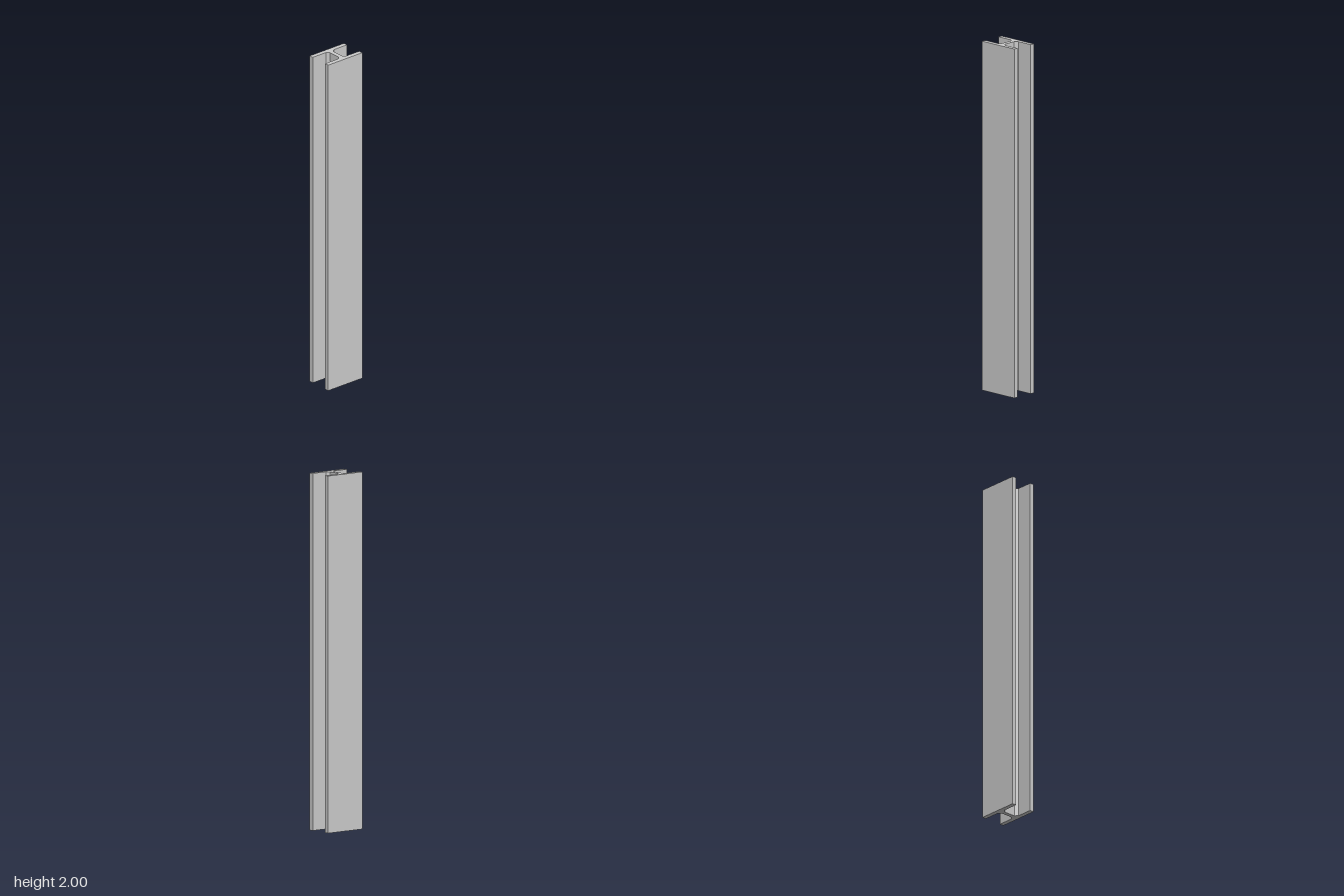
import * as THREE from 'three';

const HEIGHT = 2;
const HALF_WIDTH = 0.124;   // flange half width, x
const HALF_DEPTH = 0.079;   // outer flange faces, z
const FLANGE_INNER = 0.0525; // inner flange faces, z
const HALF_WEB = 0.0125;    // web half thickness, x
const CHAMFER = 0.0165;     // sloped corner between web and flange

export function createModel() {
  const group = new THREE.Group();
  group.name = 'steelBeam';

  // One quarter of the I-section, from the flange edge in to the web
  const quarter = [
    [HALF_WIDTH, HALF_DEPTH],
    [HALF_WIDTH, FLANGE_INNER],
    [HALF_WEB + CHAMFER, FLANGE_INNER],
    [HALF_WEB, FLANGE_INNER - CHAMFER],
  ];
  const mirror = (sx, sy) => quarter.map(([x, y]) => new THREE.Vector2(x * sx, y * sy));

  // Mirror the quarter around to close the outline
  const section = new THREE.Shape([
    ...mirror(1, 1),
    ...mirror(1, -1).reverse(),
    ...mirror(-1, -1),
    ...mirror(-1, 1).reverse(),
  ]);

  // Extrude the section and stand it upright
  const geometry = new THREE.ExtrudeGeometry(section, { depth: HEIGHT, bevelEnabled: false });
  geometry.rotateX(-Math.PI / 2);

  const beam = new THREE.Mesh(geometry, new THREE.MeshStandardMaterial({ color: 0xcccccc }));
  beam.name = 'beam';
  group.add(beam);
  return group;
}
